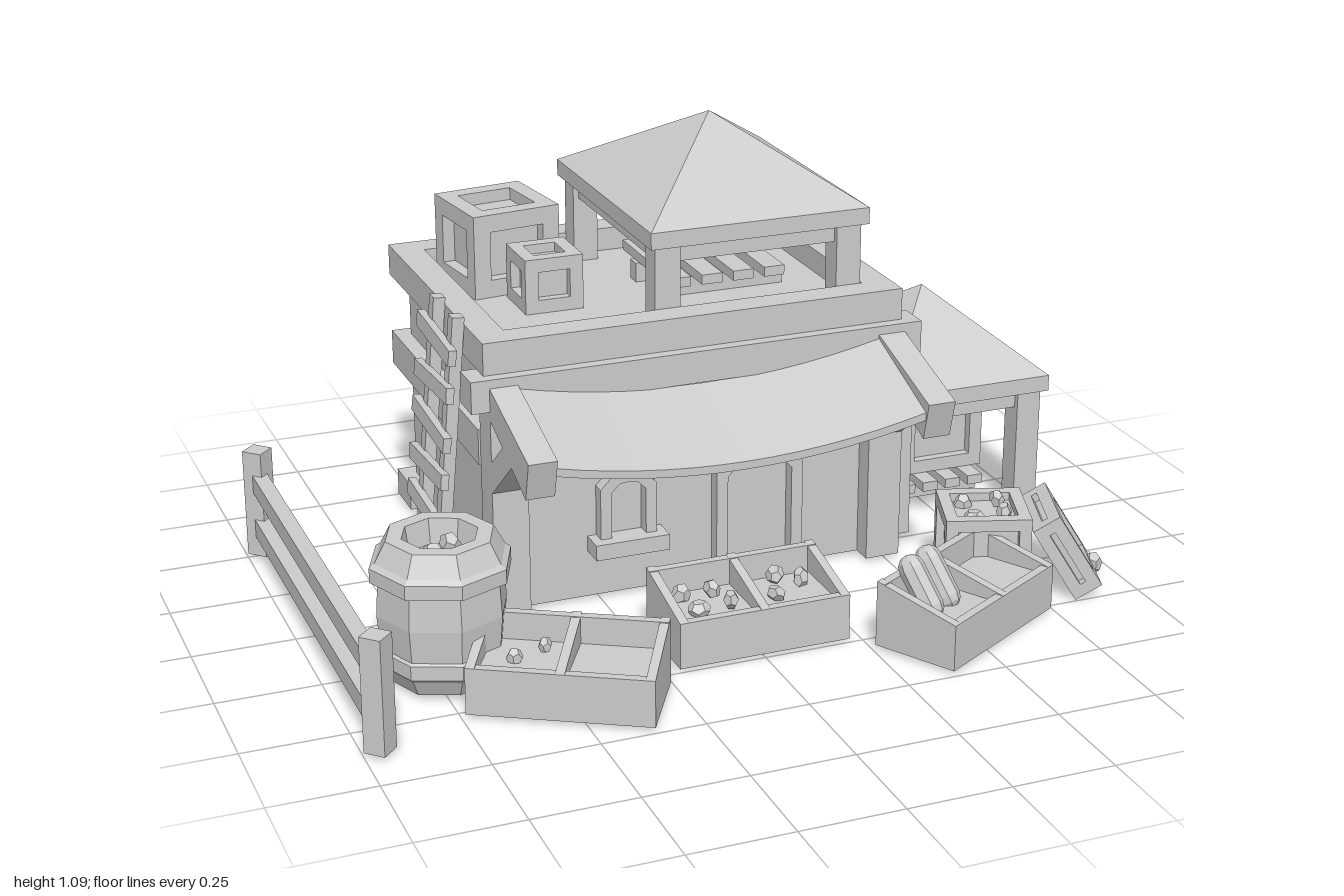
import * as THREE from 'three';

const mat = new THREE.MeshStandardMaterial({ color: 0xcccccc, flatShading: true });
const thin = new THREE.MeshStandardMaterial({ color: 0xcccccc, flatShading: true, side: THREE.DoubleSide });

function add(parent, name, geo, x = 0, y = 0, z = 0, material = mat) {
  const m = new THREE.Mesh(geo, material);
  m.name = name;
  m.position.set(x, y, z);
  parent.add(m);
  return m;
}

function group(parent, name, x = 0, y = 0, z = 0, ry = 0) {
  const g = new THREE.Group();
  g.name = name;
  g.position.set(x, y, z);
  g.rotation.y = ry;
  parent.add(g);
  return g;
}

// Box given by its limits on each axis
function block(parent, name, x0, x1, y0, y1, z0, z1) {
  return add(parent, name, new THREE.BoxGeometry(x1 - x0, y1 - y0, z1 - z0), (x0 + x1) / 2, (y0 + y1) / 2, (z0 + z1) / 2);
}

// Four bars around a rectangle lying flat
function ring(parent, name, x0, x1, y0, y1, z0, z1, t) {
  block(parent, name, x0, x1, y0, y1, z0, z0 + t);
  block(parent, name, x0, x1, y0, y1, z1 - t, z1);
  block(parent, name, x0, x0 + t, y0, y1, z0 + t, z1 - t);
  block(parent, name, x1 - t, x1, y0, y1, z0 + t, z1 - t);
}

// Box with bars on its edges and recessed panels, standing on its base
function crate(parent, name, w, h, d, t, x, y, z, ry = 0) {
  const g = group(parent, name, x, y, z, ry);
  for (const y0 of [0, h - t]) ring(g, 'crateFrame', -w / 2, w / 2, y0, y0 + t, -d / 2, d / 2, t);
  for (const sx of [-1, 1]) for (const sz of [-1, 1])
    add(g, 'crateCorner', new THREE.BoxGeometry(t, h - 2 * t, t), sx * (w - t) / 2, h / 2, sz * (d - t) / 2);
  const i = t * 0.7;
  add(g, 'cratePanels', new THREE.BoxGeometry(w - 2 * i, h - 2 * i, d - 2 * i), 0, h / 2, 0);
  return g;
}

// Four posts, tie beams, eave frame and a hollow pyramid roof
function canopy(parent, name, x0, x1, z0, z1, floor, eave, peak) {
  const g = group(parent, name);
  const p = 0.015, w = 0.065;
  for (const x of [x0 + p, x1 - p - w]) for (const z of [z0 + p, z1 - p - w])
    block(g, 'post', x, x + w, floor, eave, z, z + w);
  ring(g, 'tieBeam', x0 + 0.03, x1 - 0.03, eave - 0.045, eave, z0 + 0.03, z1 - 0.03, 0.035);
  ring(g, 'eave', x0, x1, eave, eave + 0.042, z0, z1, 0.06);
  const h = peak - eave - 0.042;
  const cone = new THREE.ConeGeometry(Math.SQRT1_2, h, 4, 1, true, Math.PI / 4);
  cone.scale(x1 - x0, 1, z1 - z0);
  add(g, 'pyramidRoof', cone, (x0 + x1) / 2, eave + 0.042 + h / 2, (z0 + z1) / 2, thin);
}

// Low slatted table on two cross bars
function slatTable(parent, x0, x1, z0, z1, y) {
  const g = group(parent, 'slatTable');
  const n = 4, s = (x1 - x0) / n;
  for (let i = 0; i < n; i++) block(g, 'slat', x0 + i * s, x0 + (i + 0.65) * s, y + 0.05, y + 0.075, z0, z1);
  for (const k of [0.3, 0.7]) {
    const z = z0 + (z1 - z0) * k;
    block(g, 'crossBar', x0 - 0.01, x1, y, y + 0.05, z - 0.02, z + 0.02);
  }
}

// Arched surround with an opening
function archFrame(parent, name, x, y, w, h, t, z) {
  const outline = (shape, ww, hh, b) => {
    const a = ww / 2;
    shape.moveTo(-a, b);
    shape.lineTo(a, b);
    shape.lineTo(a, hh - a * 0.55);
    shape.lineTo(a * 0.5, hh - a * 0.05);
    shape.lineTo(0, hh);
    shape.lineTo(-a * 0.5, hh - a * 0.05);
    shape.lineTo(-a, hh - a * 0.55);
    shape.closePath();
    return shape;
  };
  const s = outline(new THREE.Shape(), w, h, 0);
  s.holes.push(outline(new THREE.Path(), w - 2 * t, h - t, t * 0.4));
  add(parent, name, new THREE.ExtrudeGeometry(s, { depth: 0.035, bevelEnabled: false }), x, y, z);
}

// Market tray with a sloping rim, a divider and a raised floor
function stall(parent, x, z, ry) {
  const g = group(parent, 'marketTray', x, 0.01, z, ry);
  const W = 0.43, D = 0.22, t = 0.022, lo = 0.115, hi = 0.165;
  const side = new THREE.Shape([[0, 0], [D, 0], [D, lo], [0, hi]].map(p => new THREE.Vector2(...p)));
  for (const sx of [-W / 2, -t / 2, W / 2 - t]) {
    const geo = new THREE.ExtrudeGeometry(side, { depth: t, bevelEnabled: false }).rotateY(-Math.PI / 2);
    add(g, 'trayEnd', geo, sx + t, 0, -D / 2);
  }
  block(g, 'trayFront', -W / 2, W / 2, 0, lo, D / 2 - t, D / 2);
  block(g, 'trayBack', -W / 2, W / 2, 0, hi - 0.003, -D / 2, -D / 2 + t);
  add(g, 'trayFloor', new THREE.BoxGeometry(W - t, 0.095, D - t), 0, 0.0475, 0);
  return g;
}

function produce(parent, spots, y, r) {
  spots.forEach(([x, z], i) => {
    const m = add(parent, 'produce', new THREE.DodecahedronGeometry(r), x, y + (i % 2) * 0.01, z);
    m.rotation.set(i, i * 1.7, i * 0.6);
    m.scale.set(1, 1.15, 0.8);
  });
}

export function createModel() {
  const root = new THREE.Group();
  root.name = 'marketHouse';

  // House body, bands and roof terrace
  const house = group(root, 'house');
  block(house, 'walls', -0.5, 0.5, 0.01, 0.65, -0.69, 0.02);
  block(house, 'frontWall', -0.48, 0.48, 0.01, 0.56, 0.02, 0.05);
  block(house, 'middleBand', -0.54, 0.54, 0.385, 0.475, -0.73, 0.02);
  ring(house, 'parapet', -0.54, 0.54, 0.63, 0.71, -0.73, 0.075, 0.075);
  block(house, 'frontBeam', -0.58, 0.58, 0.55, 0.63, 0.02, 0.105);
  for (const s of [-1, 1]) {
    add(house, 'frontPillar', new THREE.BoxGeometry(0.09, 0.54, 0.085), s * 0.49, 0.28, 0.0625);
    add(house, 'footBlock', new THREE.BoxGeometry(0.12, 0.07, 0.12), s * 0.48, 0.048, -0.67);
  }
  archFrame(house, 'doorFrame', 0.16, 0.01, 0.23, 0.35, 0.03, 0.05);
  archFrame(house, 'windowFrame', -0.185, 0.14, 0.145, 0.2, 0.028, 0.05);
  block(house, 'windowSill', -0.28, -0.09, 0.13, 0.17, 0.05, 0.115);

  // Awning with sloping rafters, braces and sagging cloth
  const awning = group(root, 'awning');
  const rafter = [[0.1, 0.61], [0.1, 0.53], [0.36, 0.43], [0.385, 0.525]];
  const brace = [[0.1, 0.42], [0.1, 0.34], [0.26, 0.47], [0.2, 0.5]];
  for (const x of [-0.535, 0.465]) for (const [name, pts] of [['rafter', rafter], ['brace', brace]]) {
    const s = new THREE.Shape(pts.map(([z, y]) => new THREE.Vector2(-z, y)));
    add(awning, name, new THREE.ExtrudeGeometry(s, { depth: 0.07, bevelEnabled: false }).rotateY(Math.PI / 2), x, 0, 0);
  }
  const cloth = new THREE.BoxGeometry(0.94, 0.02, 0.27, 14, 1, 1);
  const p = cloth.attributes.position;
  for (let i = 0; i < p.count; i++) {
    const u = p.getX(i) / 0.47, k = p.getZ(i) / 0.27 + 0.5;
    p.setY(i, p.getY(i) + 0.592 - 0.1 * k - 0.055 * (1 - u * u));
  }
  cloth.computeVertexNormals();
  add(awning, 'cloth', cloth, 0, 0, 0.235);

  // Rooftop pavilion and side shelter
  canopy(root, 'roofPavilion', -0.096, 0.476, -0.672, 0.012, 0.65, 0.865, 1.095);
  slatTable(root, 0.02, 0.355, -0.5, -0.16, 0.65);
  canopy(root, 'sideShelter', 0.537, 1, -0.555, 0.012, 0.01, 0.353, 0.583);
  slatTable(root, 0.64, 0.9, -0.435, -0.1, 0.02);

  // Crates
  crate(root, 'shelterCrate', 0.23, 0.21, 0.23, 0.035, 0.79, 0.095, -0.28);
  crate(root, 'largeRoofCrate', 0.235, 0.215, 0.235, 0.045, -0.31, 0.65, -0.525, 0.13);
  crate(root, 'smallRoofCrate', 0.15, 0.14, 0.15, 0.034, -0.255, 0.65, -0.315);
  const fruitCrate = crate(root, 'fruitCrate', 0.21, 0.2, 0.2, 0.03, 0.66, 0.01, 0.315, -0.33);
  produce(fruitCrate, [[-0.045, -0.04], [0.04, -0.045], [-0.03, 0.045], [0.045, 0.035]], 0.185, 0.024);
  const lean = group(root, 'leaningCratePivot', 0.84, 0.112, 0.385, -0.33);
  const fallen = crate(lean, 'leaningCrate', 0.075, 0.215, 0.215, 0.03, 0, 0, 0);
  fallen.rotation.z = 0.55;
  fallen.position.set(0.056, -0.092, 0);
  produce(root, [[0.935, 0.385]], 0.035, 0.026);

  // Market trays with goods
  const left = stall(root, -0.5, 0.54, -Math.PI / 6);
  const middle = stall(root, 0, 0.39, 0);
  const right = stall(root, 0.5, 0.54, Math.PI / 6);
  produce(left, [[-0.12, 0.02], [-0.06, -0.03]], 0.105, 0.02);
  produce(middle, [[-0.15, -0.05], [-0.08, -0.03], [-0.14, 0.04], [-0.06, 0.04], [0.06, 0.03], [0.09, -0.05], [0.15, -0.03]], 0.11, 0.024);
  for (const x of [-0.15, -0.08]) {
    const loaf = add(right, 'loaf', new THREE.CapsuleGeometry(0.032, 0.1, 3, 8), x, 0.15, -0.03);
    loaf.rotation.x = -0.6;
  }

  // Open barrel
  const profile = [[0, 0.05], [0.085, 0.05], [0.085, 0.01], [0.125, 0.01], [0.145, 0.05], [0.155, 0.06], [0.155, 0.095], [0.148, 0.1],
    [0.155, 0.18], [0.15, 0.26], [0.168, 0.265], [0.168, 0.3], [0.155, 0.31], [0.128, 0.36], [0.09, 0.36], [0.08, 0.3], [0, 0.3]];
  const barrel = group(root, 'barrel', -0.725, 0, 0.31);
  add(barrel, 'barrelBody', new THREE.LatheGeometry(profile.map(q => new THREE.Vector2(...q)), 8), 0, 0, 0, thin);
  produce(barrel, [[-0.02, 0.01], [0.03, -0.02]], 0.31, 0.03);

  // Ladder leaning on the side wall
  const ladder = group(root, 'ladder', -0.585, 0.37, -0.165);
  ladder.rotation.z = -0.09;
  for (const z of [-0.078, 0.078]) add(ladder, 'ladderRail', new THREE.BoxGeometry(0.03, 0.72, 0.035), 0, 0, z);
  for (let i = 0; i < 6; i++) {
    const rung = add(ladder, 'rung', new THREE.BoxGeometry(0.02, 0.04, 0.27), -0.022, -0.27 + i * 0.11, 0);
    rung.rotation.x = (i % 2 ? 1 : -1) * 0.06;
  }

  // Fence
  const fence = group(root, 'fence', -0.962);
  for (const z of [-0.5, 0.615])
    add(fence, 'fencePost', new THREE.BoxGeometry(0.053, 0.28, 0.053), 0, 0.15, z).rotation.y = Math.PI / 4;
  for (const y of [0.085, 0.205]) add(fence, 'fenceRail', new THREE.BoxGeometry(0.038, 0.048, 1.115), 0, y, 0.0575);

  return root;
}
